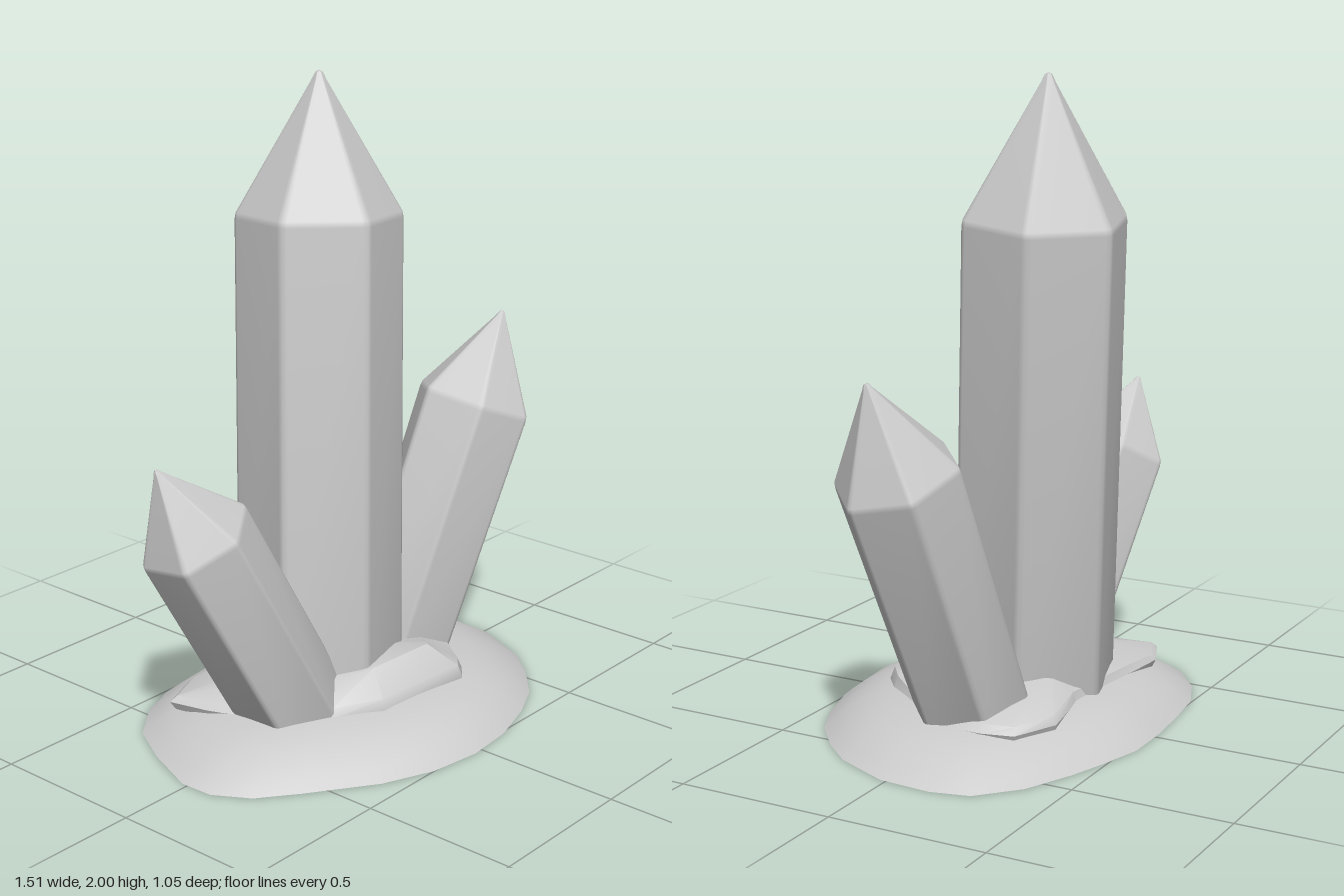
import * as THREE from 'three';
import { toCreasedNormals } from 'three/addons/utils/BufferGeometryUtils.js';

const V = (x, y, z) => new THREE.Vector3(x, y, z);

// Skin a stack of equal-length rings (bottom to top) and close both ends with a fan
function loft(rings, bottom, top) {
  const n = rings[0].length, pos = [], idx = [];
  rings.flat().concat([bottom, top]).forEach(p => pos.push(p.x, p.y, p.z));
  const b = rings.length * n, t = b + 1, last = (rings.length - 1) * n;
  for (let j = 0; j < n; j++) {
    const k = (j + 1) % n;
    for (let i = 0; i < rings.length - 1; i++) {
      const lo = i * n, hi = lo + n;
      idx.push(lo + j, hi + j, lo + k, lo + k, hi + j, hi + k);
    }
    idx.push(b, j, k, t, last + k, last + j);
  }
  const g = new THREE.BufferGeometry();
  g.setAttribute('position', new THREE.Float32BufferAttribute(pos, 3));
  g.setIndex(idx);
  g.computeVertexNormals();
  return g;
}

// Hexagon with softly bevelled corners, in the xz plane
function hexRing(r, y, angle) {
  const corner = i => V(Math.cos(angle + i * Math.PI / 3) * r, y, Math.sin(angle + i * Math.PI / 3) * r);
  const pts = [];
  for (let i = 0; i < 6; i++) {
    const c = corner(i), a = c.clone().lerp(corner(i - 1), 0.07), b = c.clone().lerp(corner(i + 1), 0.07);
    pts.push(a, a.clone().add(b).multiplyScalar(0.5).lerp(c, 0.5), b);
  }
  return pts;
}

// Six-sided crystal running from base through its shoulder to the tip
function crystal(base, shoulder, tip, rBase, rTop, degrees) {
  const dir = tip.clone().sub(base).normalize();
  const start = base.clone().addScaledVector(dir, -0.08);
  const s = shoulder.clone().sub(start).dot(dir), h = tip.distanceTo(start), a = degrees * Math.PI / 180;
  const point = h - s, bevel = 0.012;
  const rings = [
    hexRing(rBase, 0, a),
    hexRing(rTop, s - bevel, a),
    hexRing(rTop * 0.985, s + bevel * 0.6, a),
    hexRing(rTop * 0.09, h - point * 0.07, a),
    hexRing(rTop * 0.045, h - point * 0.015, a),
  ];
  const g = loft(rings, V(0, 0, 0), V(0, h, 0));
  g.applyQuaternion(new THREE.Quaternion().setFromUnitVectors(V(0, 1, 0), dir));
  g.translate(start.x, start.y, start.z);
  return g;
}

export function createModel() {
  const group = new THREE.Group();
  const stone = new THREE.MeshStandardMaterial({ color: 0xcccccc });
  stone.name = 'paleGrey';
  const add = (name, geometry) => {
    const mesh = new THREE.Mesh(geometry, stone);
    mesh.name = name;
    group.add(mesh);
  };

  // Low domed mound with an uneven oval rim
  const rim = [
    [0.71, -0.15], [0.68, -0.27], [0.56, -0.38], [0.40, -0.45], [0.28, -0.49], [0.13, -0.53], [-0.03, -0.53],
    [-0.20, -0.515], [-0.345, -0.495], [-0.48, -0.44], [-0.60, -0.345], [-0.68, -0.2], [-0.75, -0.02],
    [-0.745, 0.09], [-0.68, 0.2], [-0.565, 0.29], [-0.365, 0.43], [-0.2, 0.5], [-0.03, 0.525],
    [0.135, 0.51], [0.295, 0.46], [0.42, 0.4], [0.535, 0.3], [0.62, 0.2], [0.7, 0.02],
  ].reverse();
  const profile = [[1, 0], [0.94, 0.027], [0.87, 0.054], [0.78, 0.08], [0.68, 0.1], [0.5, 0.117], [0.25, 0.127]];
  const mound = loft(profile.map(([s, y]) => rim.map(([x, z]) => V(x * s, y, z * s))), V(0, 0, 0), V(0, 0.13, 0));
  add('mound', toCreasedNormals(mound, 0.8));

  // Rough rock slab around the crystal feet: x, z, and height of its upper edge
  const slab = [
    [0.47, -0.18, 0.17], [0.44, -0.28, 0.16], [0.3, -0.345, 0.17], [0.1, -0.31, 0.19], [-0.2, -0.33, 0.17],
    [-0.4, -0.345, 0.15], [-0.53, -0.29, 0.15], [-0.5, -0.16, 0.16], [-0.42, 0.05, 0.17], [-0.3, 0.18, 0.19],
    [-0.16, 0.27, 0.21], [0.19, 0.3, 0.215], [0.25, 0.25, 0.2], [0.34, 0.14, 0.17], [0.46, 0, 0.15],
  ].reverse();
  const slabRing = (s, f) => slab.map(([x, z, y]) => V(x * s, THREE.MathUtils.lerp(0.09, y, f), z * s));
  const rock = loft([slabRing(0.97, -0.3), slabRing(1, 0.15), slabRing(0.96, 0.45), slabRing(0.68, 1)],
    V(0, 0.06, 0), V(0, 0.2, 0));
  add('rockSlab', toCreasedNormals(rock, 0.6));

  // Crystals
  add('tallCrystal', crystal(V(-0.055, 0.15, -0.085), V(0.045, 1.57, -0.17), V(0.07, 2.004, -0.19), 0.265, 0.263, -15.6));
  add('leftCrystal', crystal(V(0.305, 0.15, -0.05), V(0.575, 0.88, 0.025), V(0.695, 1.165, 0.055), 0.185, 0.198, 17));
  add('rightCrystal', crystal(V(-0.315, 0.15, 0), V(-0.605, 0.73, -0.08), V(-0.725, 0.96, -0.12), 0.175, 0.178, 29));
  return group;
}
